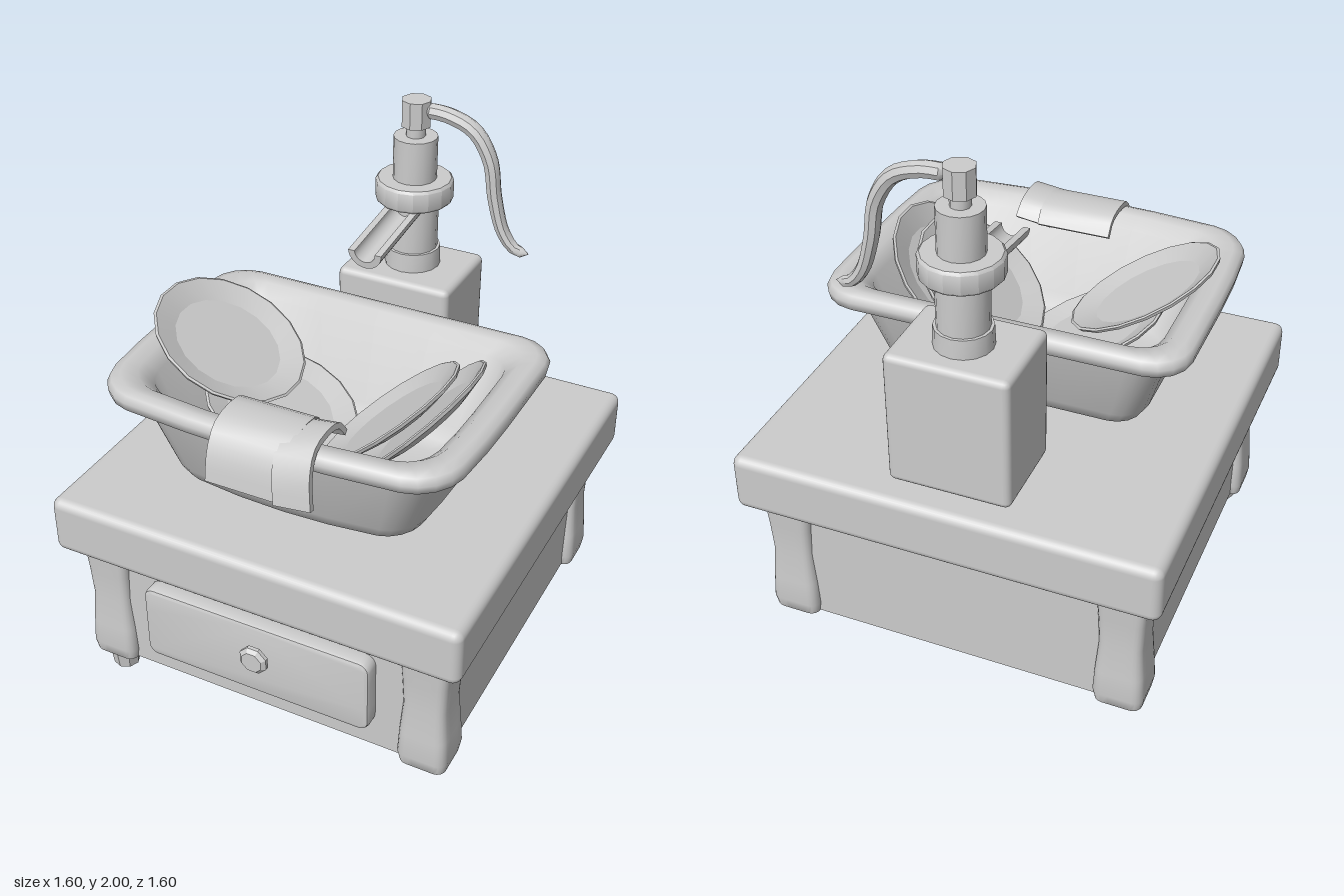
import * as THREE from 'three';
import { toCreasedNormals } from 'three/addons/utils/BufferGeometryUtils.js';
import { RoundedBoxGeometry } from 'three/addons/geometries/RoundedBoxGeometry.js';

const grey = new THREE.MeshStandardMaterial({ color: 0xcccccc, side: THREE.DoubleSide });

function add(parent, name, geometry, x = 0, y = 0, z = 0) {
  const mesh = new THREE.Mesh(geometry, grey);
  mesh.name = name;
  mesh.position.set(x, y, z);
  parent.add(mesh);
  return mesh;
}

const smooth = (geometry, angle = 0.75) => toCreasedNormals(geometry, angle);

function cylinder(parent, name, rTop, rBottom, y0, y1, sides, x, z) {
  const g = new THREE.CylinderGeometry(rTop, rBottom, y1 - y0, sides);
  return add(parent, name, smooth(g), x, (y0 + y1) / 2, z);
}

// Rounded rectangle outline with evenly split straight edges
function outline(hx, hz, r) {
  const pts = [], arc = 4, straight = 4;
  const signs = [[1, 1], [-1, 1], [-1, -1], [1, -1]];
  signs.forEach(([sx, sz], c) => {
    for (let k = 0; k <= arc; k++) {
      const a = (c + k / arc) * Math.PI / 2;
      pts.push([sx * (hx - r) + r * Math.cos(a), sz * (hz - r) + r * Math.sin(a)]);
    }
    const from = pts[pts.length - 1];
    const [nx, nz] = signs[(c + 1) % 4];
    const b = (c + 1) * Math.PI / 2;
    const to = [nx * (hx - r) + r * Math.cos(b), nz * (hz - r) + r * Math.sin(b)];
    for (let k = 1; k < straight; k++) {
      const t = k / straight;
      pts.push([from[0] + (to[0] - from[0]) * t, from[1] + (to[1] - from[1]) * t]);
    }
  });
  return pts;
}

// Closed skin through rounded rectangles [halfX, halfZ, y, cornerRadius]
function loft(levels, bend = (x, z) => [x, z], crease = 0.75) {
  const pos = [], idx = [];
  let n = 0;
  for (const [hx, hz, y, r] of levels) {
    const ring = outline(hx, hz, r);
    n = ring.length;
    for (const p of ring) {
      const [x, z] = bend(p[0], p[1], hx, hz);
      pos.push(x, y, z);
    }
  }
  const rows = levels.length, bottom = rows * n, top = bottom + 1;
  pos.push(0, levels[0][2], 0, 0, levels[rows - 1][2], 0);
  for (let i = 0; i < n; i++) {
    const j = (i + 1) % n;
    for (let k = 0; k < rows - 1; k++) {
      const a = k * n + i, b = k * n + j;
      idx.push(a, a + n, b, b, a + n, b + n);
    }
    idx.push(bottom, i, j, top, (rows - 1) * n + j, (rows - 1) * n + i);
  }
  const g = new THREE.BufferGeometry();
  g.setAttribute('position', new THREE.Float32BufferAttribute(pos, 3));
  g.setIndex(idx);
  return smooth(g, crease);
}

function makeCabinet() {
  const g = new THREE.Group();
  g.name = 'cabinet';
  add(g, 'tabletop', new RoundedBoxGeometry(1.6, 0.225, 1.6, 3, 0.035), 0, 0.708, 0);
  add(g, 'cabinetBody', new THREE.BoxGeometry(1.4, 0.52, 1.4), 0, 0.35, 0);
  // Waisted corner legs
  const leg = loft([
    [0.07, 0.07, 0.07, 0.03], [0.088, 0.088, 0.085, 0.035], [0.095, 0.095, 0.13, 0.035],
    [0.09, 0.09, 0.23, 0.035], [0.08, 0.08, 0.36, 0.03], [0.085, 0.085, 0.48, 0.03],
    [0.093, 0.093, 0.61, 0.03],
  ]);
  for (const x of [-1, 1]) for (const z of [-1, 1]) add(g, 'leg', leg, x * 0.642, 0, z * 0.642);
  cylinder(g, 'foot', 0.06, 0.05, 0, 0.08, 8, -0.642, 0.655);
  // Drawer front with bevelled corners
  const hx = 0.44, hy = 0.14, s = new THREE.Shape();
  outline(hx, hy, 0.025).forEach(([x, y], i) => (i ? s.lineTo(x, y) : s.moveTo(x, y)));
  const front = new THREE.ExtrudeGeometry(s, {
    depth: 0.06, bevelThickness: 0.015, bevelSize: 0.015, bevelSegments: 2,
  });
  add(g, 'drawerFront', smooth(front), 0, 0.357, 0.685);
  const knob = new THREE.LatheGeometry([
    [0, 0], [0.035, 0], [0.035, 0.012], [0.057, 0.018], [0.057, 0.032], [0.042, 0.045], [0, 0.045],
  ].map(p => new THREE.Vector2(...p)), 8, Math.PI / 8);
  add(g, 'drawerKnob', smooth(knob, 0.5), 0.015, 0.38, 0.756).rotation.x = Math.PI / 2;
  return g;
}

function makeBasin() {
  // Front edge bows outward and narrows a little
  const bow = (x, z, hx, hz) => {
    const f = Math.max(0, z / hz);
    return [x * (1 - 0.05 * f * f), z + 0.045 * f * (1 - (x / hx) ** 2)];
  };
  return loft([
    [0.33, 0.22, 0.82, 0.08], [0.42, 0.27, 0.83, 0.09], [0.475, 0.31, 0.86, 0.1],
    [0.505, 0.335, 0.91, 0.11], [0.59, 0.41, 1.19, 0.12], [0.66, 0.46, 1.2, 0.13],
    [0.685, 0.485, 1.215, 0.14], [0.69, 0.49, 1.245, 0.14], [0.68, 0.48, 1.27, 0.14],
    [0.65, 0.455, 1.28, 0.13], [0.6, 0.41, 1.272, 0.12], [0.555, 0.37, 1.23, 0.11],
    [0.475, 0.3, 0.93, 0.1], [0.44, 0.26, 0.88, 0.1], [0.38, 0.2, 0.865, 0.08],
  ], bow, 1.0);
}

function makePlates() {
  const g = new THREE.Group();
  g.name = 'plates';
  const plate = smooth(new THREE.LatheGeometry([
    [0, -0.018], [0.19, -0.018], [0.29, 0.012], [0.297, 0.024], [0.288, 0.028], [0.205, 0], [0, 0],
  ].map(p => new THREE.Vector2(...p)), 18), 0.25);
  const places = [[-0.41, 1.24, -29], [-0.2, 1.02, -22], [0.255, 1.12, 40], [0.372, 1.14, 46]];
  for (const [x, y, tilt] of places) {
    add(g, 'plate', plate, x, y, 0.167).rotation.z = THREE.MathUtils.degToRad(tilt);
  }
  return g;
}

// Strip of cloth hung over the rim, from a thickened curve
function clothStrip(width) {
  const path = new THREE.CatmullRomCurve3([
    [0.48, 1.235], [0.52, 1.285], [0.6, 1.298], [0.685, 1.28], [0.735, 1.21], [0.758, 1.1],
  ].map(([z, y]) => new THREE.Vector3(-z, y, 0)));
  const outer = [], inner = [];
  for (let i = 0; i <= 12; i++) {
    const p = path.getPoint(i / 12), t = path.getTangent(i / 12);
    outer.push(new THREE.Vector2(p.x + t.y * 0.011, p.y - t.x * 0.011));
    inner.unshift(new THREE.Vector2(p.x - t.y * 0.011, p.y + t.x * 0.011));
  }
  const g = new THREE.ExtrudeGeometry(new THREE.Shape([...outer, ...inner]), { depth: width, bevelEnabled: false });
  return smooth(g.translate(0, 0, -width / 2).rotateY(Math.PI / 2));
}

function makePump() {
  const g = new THREE.Group(), z = -0.53;
  g.name = 'pump';
  const base = new RoundedBoxGeometry(0.455, 0.52, 0.355, 2, 0.025);
  add(g, 'pumpBase', base, -0.003, 1.087, -0.525);
  cylinder(g, 'pumpCollar', 0.103, 0.106, 1.34, 1.42, 16, 0, z);
  cylinder(g, 'pumpColumn', 0.092, 0.092, 1.42, 1.62, 16, 0, z);
  const ring = new THREE.LatheGeometry([
    [0, 1.61], [0.137, 1.61], [0.146, 1.62], [0.146, 1.687], [0.137, 1.697], [0, 1.697],
  ].map(p => new THREE.Vector2(...p)), 16);
  add(g, 'pumpRing', smooth(ring), 0, 0, z);
  cylinder(g, 'pumpNeck', 0.082, 0.082, 1.69, 1.86, 16, 0, z);
  cylinder(g, 'pumpRod', 0.036, 0.036, 1.85, 1.91, 10, 0, z);
  cylinder(g, 'pumpCap', 0.056, 0.056, 1.9, 2.0, 8, 0, z);
  // Open channel spout
  const u = new THREE.Shape();
  u.moveTo(-0.065, 0);
  u.absarc(0, 0, 0.065, Math.PI, 2 * Math.PI, false);
  u.lineTo(0.04, 0);
  u.absarc(0, 0, 0.04, 2 * Math.PI, Math.PI, true);
  const spout = new THREE.ExtrudeGeometry(u, { depth: 0.38, bevelEnabled: false, curveSegments: 8 });
  add(g, 'spout', smooth(spout), 0, 1.62, -0.49).rotation.x = 0.125;
  // Curved handle, closed and thinned at its tip
  const path = new THREE.CatmullRomCurve3([
    [0.03, 1.965], [0.13, 1.96], [0.23, 1.92], [0.295, 1.82], [0.32, 1.68], [0.36, 1.55],
    [0.41, 1.49], [0.466, 1.482],
  ].map(([x, y]) => new THREE.Vector3(x, y, 0)));
  const steps = 24, sides = 8;
  const tube = new THREE.TubeGeometry(path, steps, 0.03, sides);
  const p = tube.attributes.position, v = new THREE.Vector3();
  for (let i = 0; i < p.count; i++) {
    const row = Math.floor(i / (sides + 1)), t = row / steps, c = path.getPointAt(t);
    const end = row === 0 || row === steps;
    const thin = end ? 0 : 1 - 0.35 * t ** 3;
    v.fromBufferAttribute(p, i).sub(c);
    const wide = end ? 0 : 1.05 - 0.6 * t ** 8;
    p.setXYZ(i, c.x + v.x * thin, c.y + v.y * thin, v.z * wide);
  }
  add(g, 'pumpHandle', smooth(tube), 0, 0, z);
  return g;
}

export function createModel() {
  const model = new THREE.Group();
  model.name = 'washstand';
  model.add(makeCabinet());
  add(model, 'basin', makeBasin(), 0, 0, 0.17);
  model.add(makePlates());
  // Cloth with a folded-over end
  const cloth = new THREE.Group();
  cloth.name = 'cloth';
  add(cloth, 'clothMain', clothStrip(0.29), -0.005, 0, 0);
  const fold = add(cloth, 'clothFold', clothStrip(0.14), 0.325, 0.012, 0.008);
  fold.rotation.z = 0.13;
  model.add(cloth);
  model.add(makePump());
  return model;
}
